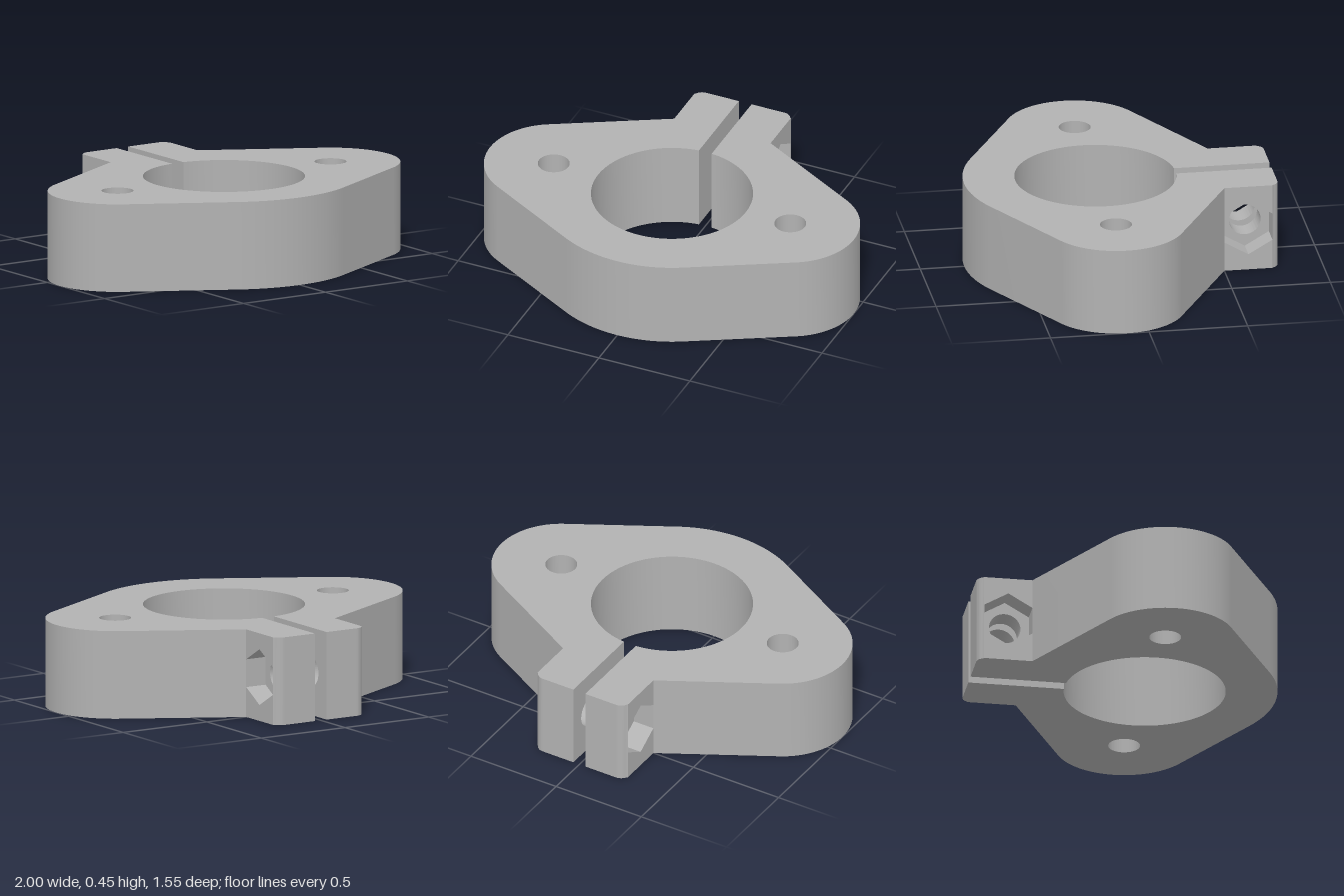
import * as THREE from 'three';
import { toCreasedNormals } from 'three/addons/utils/BufferGeometryUtils.js';

const H = 0.447;                 // thickness
const CY = -0.112;               // bore centre (shape y = -z)
const SLOT = 0.035, LUG = 0.265; // inner and outer x of the clamp lugs
const FLOOR = 0.15;              // x of the nut pocket floor
const ROOT = 0.5, BACK = 0.777;  // where the lugs start and end, towards -z
const EAR_X = 0.65, EAR_R = 0.35, RIM_R = 0.665, BORE_R = 0.406;

function circle(x, y, r) {
  return new THREE.Path().absarc(x, y, r, 0, Math.PI * 2, true);
}

function extrude(shape, depth, steps = 1) {
  return new THREE.ExtrudeGeometry(shape, { depth, steps, bevelEnabled: false, curveSegments: 48 });
}

// Flange outline: arcs joined by tangents, split by the slot into the bore
function flangeGeometry() {
  const phi = Math.acos((RIM_R - EAR_R) / EAR_X);
  const a = Math.acos(SLOT / BORE_R);
  const s = new THREE.Shape();
  s.moveTo(-SLOT, ROOT);
  s.lineTo(-LUG, ROOT);
  s.absarc(-EAR_X, CY, EAR_R, Math.PI - phi, Math.PI + phi, false);
  s.absarc(0, CY, RIM_R, Math.PI + phi, 2 * Math.PI - phi, false);
  s.absarc(EAR_X, CY, EAR_R, -phi, phi, false);
  s.lineTo(LUG, ROOT);
  s.lineTo(SLOT, ROOT);
  s.absarc(0, CY, BORE_R, a, Math.PI - a, true);
  s.closePath();
  for (const side of [-1, 1]) s.holes.push(circle(side * EAR_X, CY, 0.08));
  return toCreasedNormals(extrude(s, H).rotateX(-Math.PI / 2), 0.4);
}

// Inner half of a lug, with the round clamp bolt hole
function lugInnerGeometry(x) {
  const s = new THREE.Shape();
  s.moveTo(ROOT, 0).lineTo(BACK, 0).lineTo(BACK, H).lineTo(ROOT, H).closePath();
  s.holes.push(circle(0.622, H / 2, 0.08));
  const g = extrude(s, FLOOR - SLOT).rotateY(Math.PI / 2).translate(x, 0, 0);
  return toCreasedNormals(g, 0.4);
}

// Outer half of a lug, with the hexagonal nut pocket and a rounded back corner
function lugOuterGeometry(x) {
  const c = H / 2, R = 0.142, far = 0.744, mid = (ROOT + far) / 2, r = 0.05;
  const s = new THREE.Shape([
    [ROOT, 0], [BACK, 0], [BACK, H], [ROOT, H], [ROOT, c + R / 2], [mid, c + R],
    [far, c + R / 2], [far, c - R / 2], [mid, c - R], [ROOT, c - R / 2],
  ].map(([u, v]) => new THREE.Vector2(u, v)));
  const g = extrude(s, LUG - FLOOR, 23).rotateY(Math.PI / 2).translate(x, 0, 0);
  const p = g.attributes.position;
  for (let i = 0; i < p.count; i++) {
    const d = Math.abs(p.getX(i)) - (LUG - r);
    if (d > 0 && p.getZ(i) < -BACK + 0.001) {
      const z = BACK - r + Math.sqrt(Math.max(0, r * r - d * d));
      p.setZ(i, -Math.max(z, far + 0.001));
    }
  }
  return toCreasedNormals(g, 0.5);
}

export function createModel() {
  const model = new THREE.Group();
  model.name = 'flangedShaftClamp';
  const grey = new THREE.MeshStandardMaterial({ color: 0xb2b2b2 });
  grey.name = 'plainGrey';

  const add = (name, geometry) => {
    const mesh = new THREE.Mesh(geometry, grey);
    mesh.name = name;
    model.add(mesh);
  };

  add('flange', flangeGeometry());
  add('leftLugInner', lugInnerGeometry(SLOT));
  add('rightLugInner', lugInnerGeometry(-FLOOR));
  add('leftLugNutPocket', lugOuterGeometry(FLOOR));
  add('rightLugNutPocket', lugOuterGeometry(-LUG));
  return model;
}
